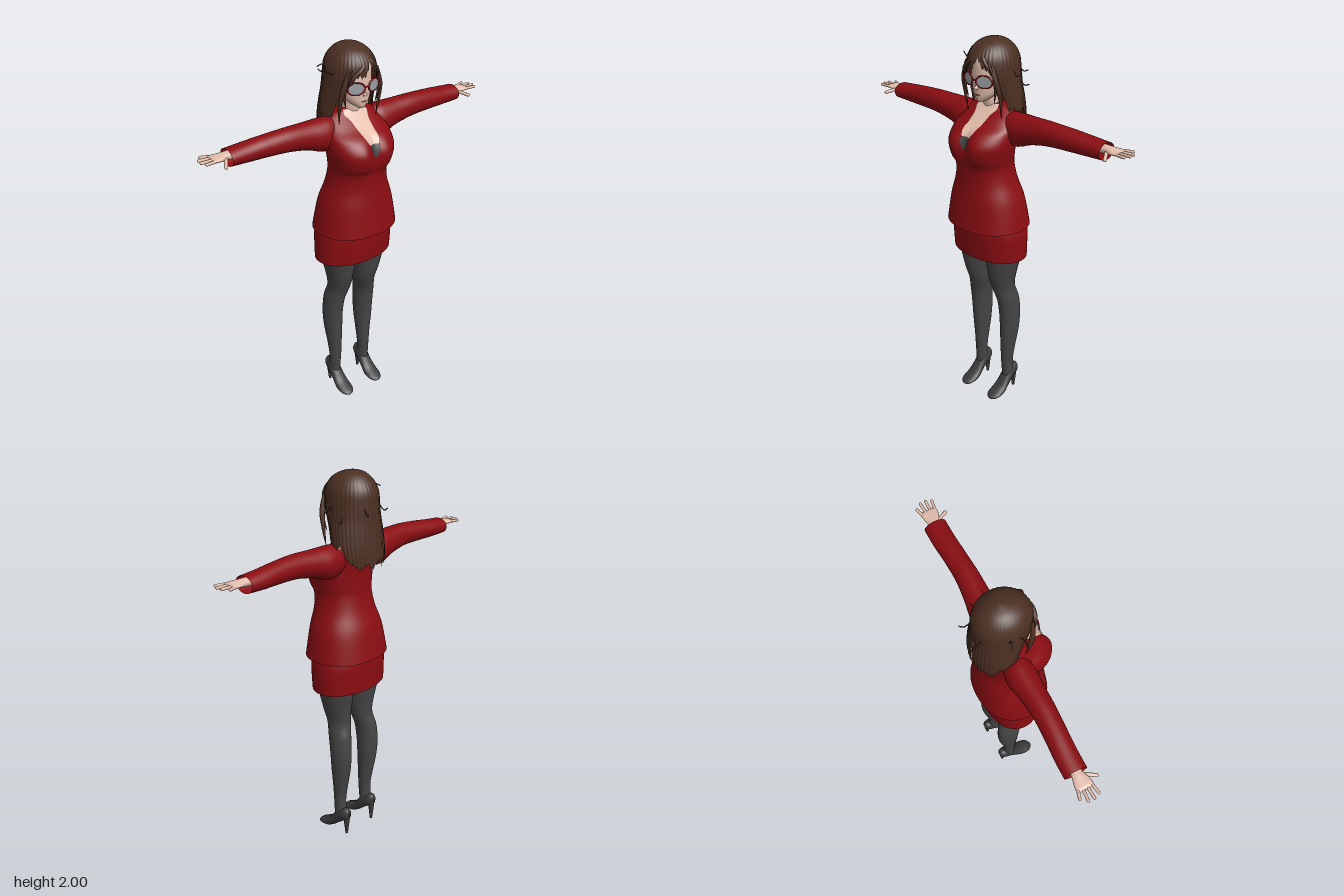
import * as THREE from 'three';
import { mergeVertices } from 'three/addons/utils/BufferGeometryUtils.js';

const V = (x, y, z) => new THREE.Vector3(x, y, z);
const mat = (name, color, side = THREE.FrontSide) => {
  const m = new THREE.MeshStandardMaterial({ color, side });
  m.name = name;
  return m;
};

// smooth interpolation through a table of rows, t in 0..1
function sample(rows, t) {
  const n = rows.length - 1, f = Math.min(Math.max(t, 0), 1) * n;
  const i = Math.min(Math.floor(f), n - 1), s = f - i;
  const at = k => rows[Math.min(Math.max(k, 0), n)];
  return rows[0].map((_, k) => {
    const a = at(i - 1)[k], b = at(i)[k], c = at(i + 1)[k], d = at(i + 2)[k];
    return b + 0.5 * s * (c - a + s * (2 * a - 5 * b + 4 * c - d + s * (3 * (b - c) + d - a)));
  });
}

// surface from a function of u, v
function grid(nu, nv, f) {
  const pos = [], idx = [];
  for (let i = 0; i <= nu; i++) for (let j = 0; j <= nv; j++) pos.push(...f(i / nu, j / nv));
  for (let i = 0; i < nu; i++) for (let j = 0; j < nv; j++) {
    const a = i * (nv + 1) + j, b = a + nv + 1;
    idx.push(a, b, b + 1, a, b + 1, a + 1);
  }
  const g = new THREE.BufferGeometry();
  g.setAttribute('position', new THREE.Float32BufferAttribute(pos, 3));
  g.setIndex(idx);
  const m = mergeVertices(g, 1e-5);
  m.computeVertexNormals();
  return m;
}

// rounded section around y from a row [y, rx, zFront, zBack, cleft, cx]
function ringPoint([y, rx, zf, zb, cleft = 0, cx = 0], th, p = 0.92) {
  const c = Math.cos(th), s = -Math.sin(th);
  const x = rx * Math.sign(c) * Math.abs(c) ** p;
  let z = (zf + zb) / 2 + (zf - zb) / 2 * Math.sign(s) * Math.abs(s) ** p;
  if (s > 0) z -= cleft * Math.exp(-((x / 0.04) ** 2)) * s;
  return [x + cx, y, z];
}
const loftY = (rows, nu, nv, p) => grid(nu, nv, (u, v) => ringPoint(sample(rows, v), u * Math.PI * 2, p));

// oval section along x from a row [x, cy, cz, ry, rz]
const loftX = (rows, nu, nv) => grid(nu, nv, (u, v) => {
  const [x, cy, cz, ry, rz] = sample(rows, v), t = u * Math.PI * 2;
  return [x, cy + ry * Math.cos(t), cz + rz * Math.sin(t)];
});

// round-ended rod between two points
function rod(a, b, r) {
  const d = b.clone().sub(a);
  const g = new THREE.CapsuleGeometry(r, d.length(), 4, 8);
  g.applyQuaternion(new THREE.Quaternion().setFromUnitVectors(V(0, 1, 0), d.normalize()));
  const m = a.clone().add(b).multiplyScalar(0.5);
  return g.translate(m.x, m.y, m.z);
}

function mirrored(g) {
  const m = g.index ? g.clone() : mergeVertices(g);
  m.scale(-1, 1, 1);
  const a = m.index.array;
  for (let i = 0; i < a.length; i += 3) [a[i], a[i + 1]] = [a[i + 1], a[i]];
  return m;
}

export function createModel() {
  const red = mat('suit red', 0x8a0d12, THREE.DoubleSide);
  const charcoal = mat('stocking charcoal', 0x454546);
  const shoeGrey = mat('shoe grey', 0x3a3a3b);
  const skin = mat('skin', 0xe2bdac, THREE.DoubleSide);
  const brown = mat('hair brown', 0x4b2f22, THREE.DoubleSide);
  const frameRed = mat('glasses red', 0x9a1018);
  const lensGrey = mat('lens grey', 0x9b9fa3, THREE.DoubleSide);
  const lip = mat('lip', 0xa8665c);

  const root = new THREE.Group();
  const add = (name, g, m) => {
    const mesh = new THREE.Mesh(g, m);
    mesh.name = name;
    root.add(mesh);
  };
  const pair = (name, g, m) => {
    add(name + 'Left', g, m);
    add(name + 'Right', mirrored(g), m);
  };

  // jacket body
  const torso = [
    [1.055, 0.224, 0.197, -0.175, 0], [1.2, 0.197, 0.18, -0.148, 0], [1.3, 0.162, 0.167, -0.116, 0],
    [1.38, 0.149, 0.172, -0.1, 0.005], [1.43, 0.158, 0.2, -0.097, 0.022], [1.5, 0.172, 0.21, -0.097, 0.035],
    [1.56, 0.172, 0.168, -0.1, 0.022], [1.6, 0.165, 0.1, -0.1, 0.004], [1.64, 0.15, 0.048, -0.095, 0],
    [1.665, 0.115, 0.022, -0.085, 0], [1.685, 0.05, 0.01, -0.07, 0],
  ];
  add('jacket', loftY(torso, 64, 60), red);

  // panel lying on the jacket front, between table rows i0 and i1, with half widths
  const panel = (i0, i1, widths, lift) => grid(16, 24, (u, v) => {
    const row = sample(torso, (i0 + (i1 - i0) * v) / (torso.length - 1));
    const a = Math.asin(Math.min(sample(widths, v)[0] / row[1], 1) ** (1 / 0.92));
    const [x, y, z] = ringPoint(row, -Math.PI / 2 + a * (u * 2 - 1));
    return [x, y + lift, z + lift];
  });
  add('neckline', panel(5.1, 9.6, [[0.012], [0.036], [0.045], [0.052], [0.068], [0.06]], 0.003), skin);
  add('camisole', panel(4.65, 5.6, [[0.006], [0.02], [0.026], [0.027]], 0.005), charcoal);

  // skirt
  add('skirt', loftY([
    [0.88, 0.217, 0.14, -0.145], [0.96, 0.219, 0.146, -0.147], [1.04, 0.216, 0.148, -0.147], [1.12, 0.19, 0.14, -0.13],
  ], 56, 10), red);

  // legs
  const leg = [
    [0.1, 0.03, -0.005, -0.08, 0, 0.101], [0.2, 0.032, 0.001, -0.068, 0, 0.099], [0.3, 0.039, 0.005, -0.082, 0, 0.1],
    [0.4, 0.048, 0.01, -0.1, 0, 0.103], [0.5, 0.052, 0.016, -0.108, 0, 0.104], [0.6, 0.052, 0.032, -0.102, 0, 0.1],
    [0.68, 0.056, 0.055, -0.082, 0, 0.085], [0.76, 0.068, 0.08, -0.086, 0, 0.087], [0.88, 0.086, 0.1, -0.105, 0, 0.095],
    [1.0, 0.09, 0.11, -0.11, 0, 0.1],
  ];
  pair('leg', loftY(leg, 28, 44, 1), charcoal);

  // high heeled shoes, sections from heel to toe: z, bottom, top, half width
  const shoe = [
    [-0.106, 0.115, 0.135, 0.004], [-0.098, 0.093, 0.155, 0.022], [-0.075, 0.08, 0.16, 0.031], [-0.04, 0.055, 0.15, 0.034],
    [0, 0.022, 0.1, 0.037], [0.035, 0.004, 0.06, 0.042], [0.075, 0.002, 0.037, 0.04], [0.1, 0.003, 0.024, 0.027],
    [0.114, 0.008, 0.012, 0.004],
  ];
  pair('shoe', grid(24, 32, (u, v) => {
    const [z, lo, hi, w] = sample(shoe, v), t = u * Math.PI * 2;
    return [0.101 + w * Math.cos(t), (lo + hi) / 2 + (hi - lo) / 2 * Math.sin(t), z];
  }), shoeGrey);
  pair('stilettoHeel', new THREE.CylinderGeometry(0.02, 0.007, 0.115, 12).translate(0.101, 0.0575, -0.085), shoeGrey);

  // sleeves
  pair('sleeve', loftX([
    [0.07, 1.585, -0.025, 0.06, 0.05], [0.15, 1.575, -0.02, 0.084, 0.07], [0.2, 1.578, -0.02, 0.082, 0.073],
    [0.27, 1.591, -0.018, 0.069, 0.064], [0.38, 1.602, -0.015, 0.059, 0.057], [0.5, 1.601, -0.02, 0.053, 0.055],
    [0.6, 1.597, -0.026, 0.047, 0.056], [0.69, 1.595, -0.027, 0.041, 0.056],
  ], 32, 40), red);

  // hands
  pair('palm', loftX([
    [0.66, 1.605, -0.027, 0.022, 0.026], [0.7, 1.606, -0.026, 0.019, 0.028], [0.73, 1.607, -0.024, 0.015, 0.038],
    [0.762, 1.608, -0.024, 0.011, 0.042], [0.775, 1.608, -0.024, 0.004, 0.034],
  ], 20, 16), skin);
  [[-0.057, -0.07, 0.8], [-0.036, -0.041, 0.822], [-0.014, -0.012, 0.824], [0.008, 0.016, 0.812]].forEach(([z0, z1, x], i) =>
    pair('finger' + (i + 1), rod(V(0.758, 1.608, z0), V(x, 1.61, z1), 0.0075), skin));
  pair('thumb', rod(V(0.705, 1.602, -0.005), V(0.738, 1.588, 0.05), 0.009), skin);

  // neck and head
  add('neck', loftY([[1.58, 0.062, 0.04, -0.07], [1.65, 0.05, 0.026, -0.066], [1.7, 0.043, 0.03, -0.06], [1.78, 0.043, 0.035, -0.06]], 24, 12, 1), skin);
  add('head', loftY([
    [1.697, 0.002, 0.066, 0.06], [1.701, 0.018, 0.08, 0.035], [1.718, 0.04, 0.087, 0], [1.745, 0.066, 0.089, -0.04],
    [1.79, 0.085, 0.09, -0.08], [1.84, 0.091, 0.091, -0.1], [1.9, 0.09, 0.085, -0.11], [1.95, 0.068, 0.055, -0.09],
    [1.975, 0.01, -0.01, -0.03],
  ], 36, 36, 1), skin);
  const nose = new THREE.ConeGeometry(0.01, 0.035, 8).scale(1, 1, 1.3).rotateX(-0.35).translate(0, 1.782, 0.092);
  add('nose', nose, skin);
  add('mouth', new THREE.SphereGeometry(1, 12, 8).scale(0.016, 0.0035, 0.004).translate(0, 1.734, 0.087), lip);

  // glasses
  const place = g => g.rotateY(0.36).translate(0.052, 1.808, 0.094);
  pair('lens', place(new THREE.CylinderGeometry(1, 1, 0.004, 28).rotateX(Math.PI / 2).scale(0.042, 0.029, 1)), lensGrey);
  pair('lensRim', place(new THREE.TorusGeometry(0.043, 0.0045, 8, 32).scale(1, 0.7, 1)), frameRed);
  pair('glassesArm', rod(V(0.093, 1.818, 0.078), V(0.102, 1.822, -0.02), 0.0045), frameRed);
  add('glassesBridge', rod(V(-0.012, 1.813, 0.108), V(0.012, 1.813, 0.108), 0.0045), frameRed);

  // hair shell: hem height by angle from the front in degrees, + is the model's left
  const hem = [[-180, 1.56], [-125, 1.56], [-105, 1.65], [-58, 1.66], [-50, 1.79], [-38, 1.84], [0, 1.885], [12, 1.915],
    [25, 1.885], [42, 1.84], [50, 1.79], [58, 1.66], [105, 1.65], [125, 1.56], [180, 1.56]];
  const hemAt = d => {
    const i = Math.max(1, hem.findIndex(h => h[0] >= d));
    const [a, b] = [hem[i - 1], hem[i]];
    const jag = Math.abs(((d / 9) % 1 + 1) % 1 - 0.5) * 0.035 + 0.012 * Math.sin(d * 0.21);
    return a[1] + (b[1] - a[1]) * (d - a[0]) / (b[0] - a[0]) + jag - 0.012;
  };
  const shape = [[1.54, 0.132, 0.02, -0.182], [1.6, 0.142, 0.03, -0.182], [1.66, 0.145, 0.05, -0.178], [1.72, 0.14, 0.066, -0.172],
    [1.78, 0.133, 0.092, -0.167], [1.84, 0.128, 0.112, -0.165], [1.9, 0.121, 0.112, -0.16], [1.94, 0.105, 0.094, -0.142],
    [1.97, 0.08, 0.064, -0.115], [1.99, 0.048, 0.02, -0.08], [2.0, 0.002, -0.03, -0.034]];
  const shapeAt = y => {
    let lo = 0, hi = 1;
    for (let k = 0; k < 24; k++) {
      const m = (lo + hi) / 2;
      if (sample(shape, m)[0] < y) lo = m; else hi = m;
    }
    return sample(shape, lo);
  };
  add('hair', grid(160, 36, (u, v) => {
    const d = u * 360 - 180, h = hemAt(d);
    const y = h + (2 - h) * (1 - (1 - v) ** 1.8);
    const [x, , z] = ringPoint(shapeAt(y), (d - 90) * Math.PI / 180, 1);
    const k = 1 + 0.014 * Math.sin(d * 0.7) * (1 - v);
    return [x * k, y, (z + 0.03) * k - 0.03];
  }), brown);

  // tapered locks framing the face, listed from tip to root
  const lock = (pts, r) => {
    const c = new THREE.CatmullRomCurve3(pts);
    return grid(10, 20, (u, v) => {
      const p = c.getPoint(v), t = u * Math.PI * 2, w = r * Math.min(1, 1.6 * v + 0.03) * (1 - 0.6 * v * v);
      return [p.x + w * Math.cos(t), p.y, p.z - w * Math.sin(t)];
    });
  };
  pair('sideLock', lock([V(0.112, 1.63, 0.04), V(0.118, 1.72, 0.052), V(0.108, 1.81, 0.07), V(0.085, 1.89, 0.075)], 0.017), brown);
  pair('innerLock', lock([V(0.085, 1.7, 0.06), V(0.1, 1.76, 0.068), V(0.1, 1.83, 0.076), V(0.07, 1.9, 0.085)], 0.012), brown);
  add('fringeLock', lock([V(-0.1, 1.81, 0.082), V(-0.07, 1.865, 0.1), V(-0.02, 1.91, 0.098), V(0.02, 1.955, 0.06)], 0.02), brown);
  add('fringeLockShort', lock([V(0.092, 1.835, 0.084), V(0.07, 1.885, 0.094), V(0.04, 1.925, 0.088), V(0.02, 1.955, 0.06)], 0.016), brown);

  // loose wisps
  [
    [V(-0.11, 1.86, 0), V(-0.15, 1.885, 0.01), V(-0.18, 1.9, 0)],
    [V(-0.12, 1.87, -0.05), V(-0.14, 1.91, -0.05), V(-0.165, 1.9, -0.06)],
    [V(0.12, 1.86, -0.03), V(0.15, 1.83, -0.03), V(0.17, 1.845, -0.04)],
    [V(0.12, 1.8, -0.08), V(0.145, 1.775, -0.09), V(0.165, 1.78, -0.1)],
    [V(-0.05, 1.85, -0.15), V(-0.055, 1.82, -0.185), V(-0.06, 1.83, -0.2)],
    [V(0.05, 1.84, -0.15), V(0.06, 1.81, -0.18), V(0.07, 1.815, -0.197)],
  ].forEach((p, i) => add('wisp' + (i + 1), new THREE.TubeGeometry(new THREE.CatmullRomCurve3(p), 10, 0.003, 5), brown));

  return root;
}
